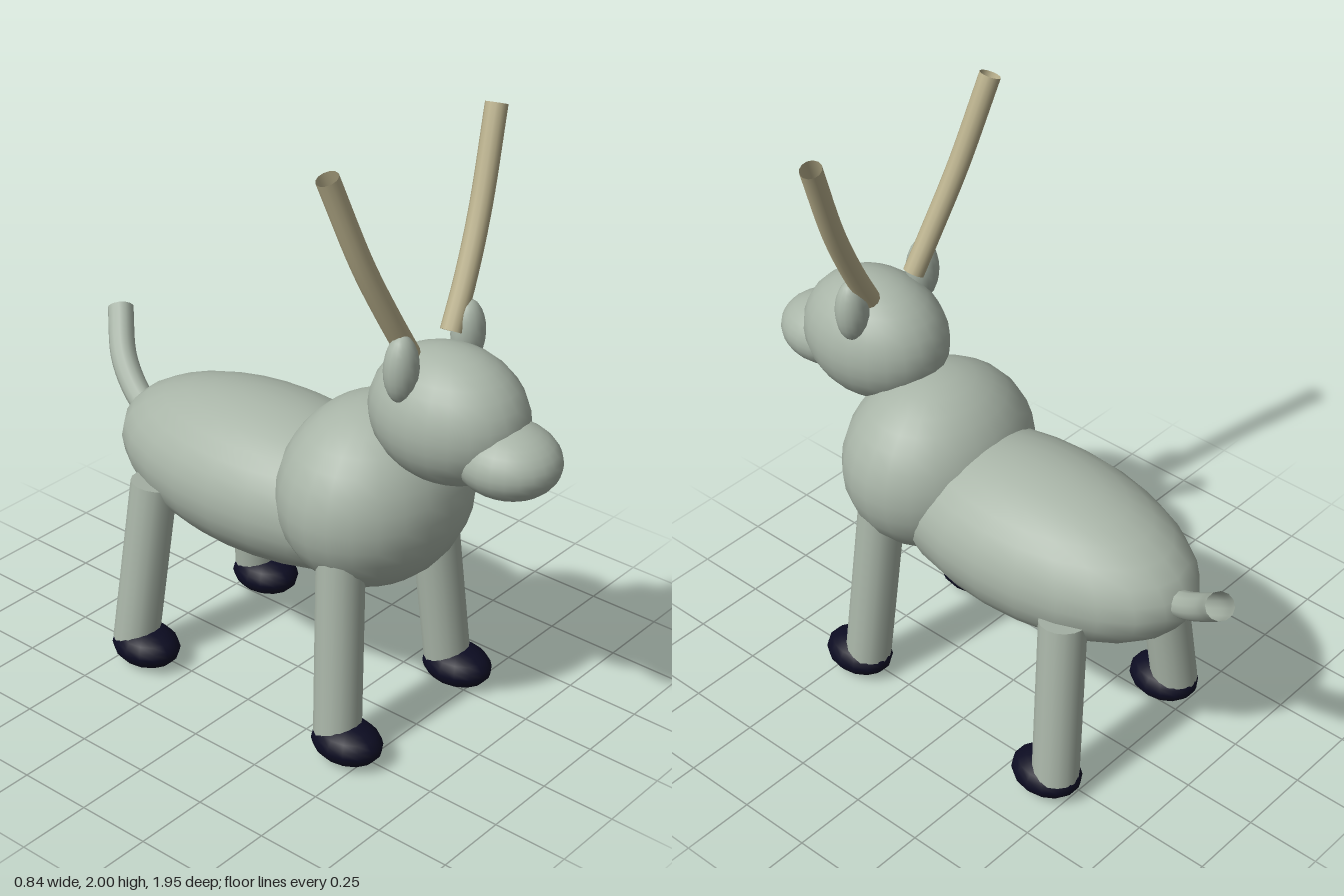
import * as THREE from 'three';

const mat = (name, color, side = THREE.FrontSide) => {
  const m = new THREE.MeshStandardMaterial({ color, side });
  m.name = name;
  return m;
};
const V = (x, y, z) => new THREE.Vector3(x, y, z);

export function createModel() {
  const hide = mat('greyGreenHide', 0xa9b5a8, THREE.DoubleSide);
  const horn = mat('tanHorn', 0xb9b08c, THREE.DoubleSide);
  const dark = mat('darkHoof', 0x0c0c22);
  const model = new THREE.Group();
  model.name = 'deer';

  const add = (name, geometry, material) => {
    const mesh = new THREE.Mesh(geometry, material);
    mesh.name = name;
    model.add(mesh);
    return mesh;
  };
  // Stretched ball from its centre and three radii
  const ball = (name, c, r, material = hide, w = 24, h = 16) => {
    const mesh = add(name, new THREE.SphereGeometry(1, w, h), material);
    mesh.position.set(...c);
    mesh.scale.set(...r);
    return mesh;
  };
  // Open tube along a smooth curve
  const tube = (name, points, radius, material) =>
    add(name, new THREE.TubeGeometry(new THREE.CatmullRomCurve3(points), 16, radius, 12), material);
  // Capped cylinder between two points
  const limb = (name, top, foot, radius) => {
    const axis = top.clone().sub(foot);
    const mesh = add(name, new THREE.CylinderGeometry(radius, radius, axis.length(), 16), hide);
    mesh.position.copy(top).add(foot).multiplyScalar(0.5);
    mesh.quaternion.setFromUnitVectors(V(0, 1, 0), axis.normalize());
  };

  // Trunk and head
  ball('body', [0, 0.72, -0.11], [0.315, 0.262, 0.6]);
  ball('chest', [0, 0.815, 0.32], [0.345, 0.308, 0.29]);
  ball('head', [0, 1.165, 0.588], [0.207, 0.215, 0.262]);
  ball('muzzle', [0, 1.088, 0.805], [0.152, 0.114, 0.17]);

  // Tail curling up and to one side
  tube('tail', [V(0, 0.72, -0.6), V(0.02, 0.755, -0.71), V(0.07, 0.85, -0.835), V(0.165, 0.975, -0.94)], 0.044, hide);

  // Mirrored parts
  for (const [s, side] of [[1, 'left'], [-1, 'right']]) {
    ball(side + 'Ear', [s * 0.16, 1.35, 0.53], [0.058, 0.108, 0.051], hide, 16, 12);
    tube(side + 'Antler', [V(s * 0.1, 1.37, 0.512), V(s * 0.18, 1.51, 0.498),
      V(s * 0.275, 1.7, 0.474), V(s * 0.387, 1.987, 0.437)], 0.035, horn);

    limb(side + 'FrontLeg', V(s * 0.225, 0.72, 0.365), V(s * 0.282, 0.08, 0.405), 0.077);
    limb(side + 'HindLeg', V(s * 0.235, 0.66, -0.41), V(s * 0.305, 0.08, -0.448), 0.077);
    ball(side + 'FrontHoof', [s * 0.283, 0.069, 0.445], [0.097, 0.067, 0.124], dark, 14, 10);
    ball(side + 'HindHoof', [s * 0.3, 0.069, -0.407], [0.1, 0.067, 0.124], dark, 14, 10);
  }
  return model;
}
